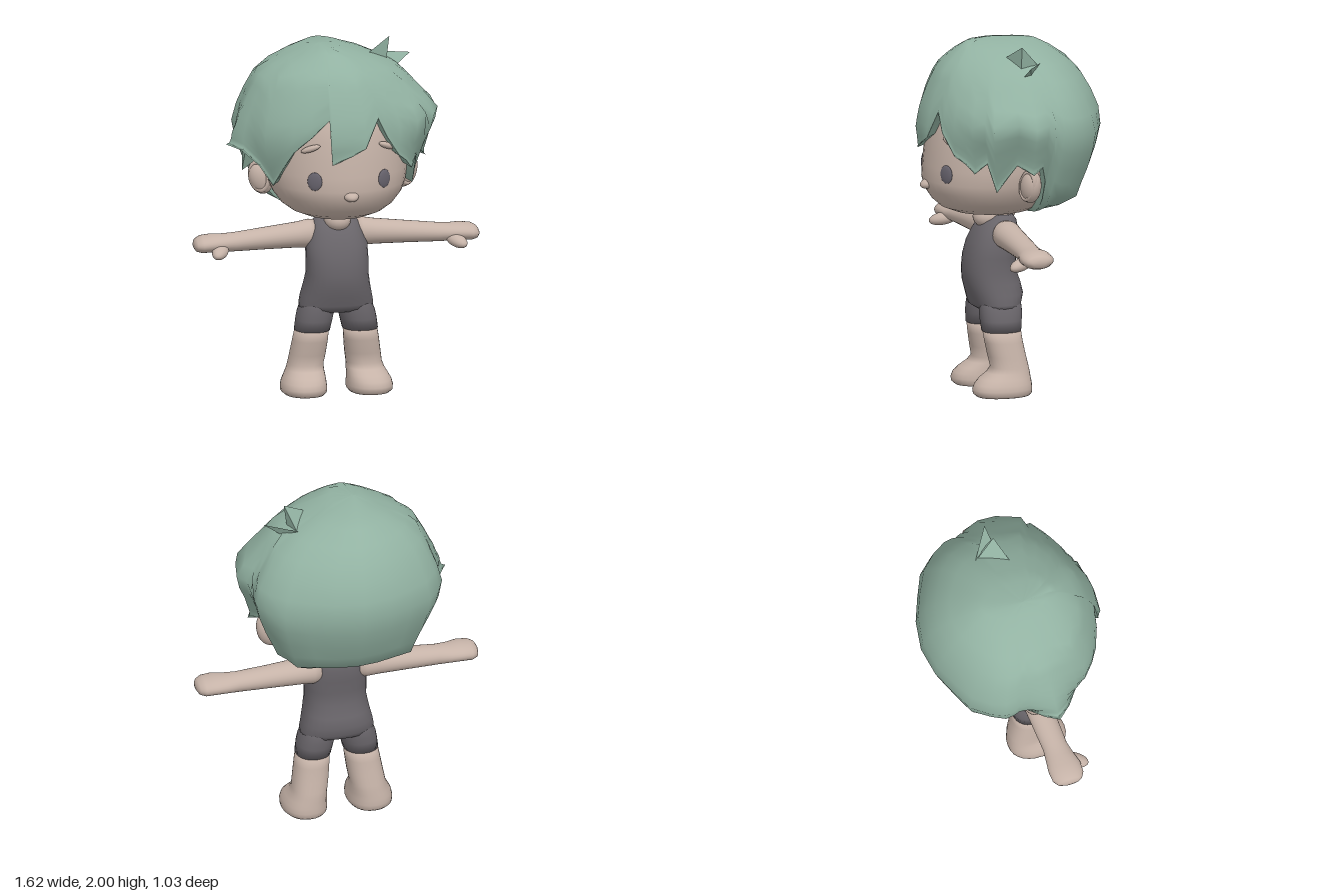
import * as THREE from 'three';
import { ConvexGeometry } from 'three/addons/geometries/ConvexGeometry.js';

const mat = (name, color, side = THREE.FrontSide) => {
  const m = new THREE.MeshStandardMaterial({ color, side });
  m.name = name;
  return m;
};

// Grid of points (rows of equal length) turned into a smooth closed surface.
function skinGrid(rows, flip = false) {
  const n = rows[0].length, pos = rows.flat(2), idx = [];
  for (let j = 0; j < rows.length - 1; j++) {
    for (let i = 0; i < n; i++) {
      const k = (i + 1) % n;
      const a = j * n + i, b = a + n, c = (j + 1) * n + k, d = j * n + k;
      if (flip) idx.push(a, c, b, a, d, c);
      else idx.push(a, b, c, a, c, d);
    }
  }
  const g = new THREE.BufferGeometry();
  g.setAttribute('position', new THREE.Float32BufferAttribute(pos, 3));
  g.setIndex(idx);
  g.computeVertexNormals();
  return g;
}

// Rings listed from top to bottom: [height, centreX, radiusX, centreZ, radiusZ].
// side = -1 mirrors in x.
function loft(rings, side = 1, power = 1, seg = 28) {
  const first = rings[0], last = rings[rings.length - 1];
  const all = [[first[0], first[1], 0, first[3], 0], ...rings, [last[0], last[1], 0, last[3], 0]];
  const bend = v => Math.sign(v) * Math.abs(v) ** power;
  return skinGrid(all.map(([y, cx, rx, cz, rz]) => Array.from({ length: seg }, (_, i) => {
    const t = i / seg * Math.PI * 2;
    return [side * (cx + rx * bend(Math.sin(t))), y, cz + rz * bend(Math.cos(t))];
  })), side < 0);
}

// Ring from front and back depth instead of centre and radius.
const span = ([y, cx, rx, front, back]) => [y, cx, rx, (front + back) / 2, (front - back) / 2];

// Linear lookup in a table of [key, value], keys falling.
function lookup(table, y) {
  for (let i = 1; i < table.length; i++) {
    const [y0, v0] = table[i - 1], [y1, v1] = table[i];
    if (y >= y1) return v0 + (v1 - v0) * Math.min(1, Math.max(0, (y0 - y) / (y0 - y1)));
  }
  return table[table.length - 1][1];
}

// Hair shell: each hem point gets one strand column running down from the crown.
function hairShell() {
  const back = [[.42, 1.25, -.08], [.36, 1.14, -.085], [.29, 1.07, -.085], [.22, 1.04, -.085],
    [.15, 1.03, -.085], [.1, 1.02, -.09], [.06, 1.02, -.09], [.03, 1.02, -.09]];
  const hem = [
    [-.12, 1.63, .46], [-.112, 1.38, .49], [0, 1.43, .505], [.08, 1.47, .5], [.16, 1.63, .46],
    [.21, 1.52, .455], [.29, 1.4, .41], [.34, 1.36, .36], [.38, 1.31, .32], [.42, 1.37, .26],
    [.41, 1.2, .2], [.47, 1.36, .1], [.53, 1.31, .02], [.47, 1.34, -.05],
    ...back, [0, 1.02, -.09],
    ...back.slice().reverse().map(([x, y, z]) => [-x, y, z]),
    [-.5, 1.38, -.06], [-.58, 1.42, .01], [-.63, 1.44, .08], [-.56, 1.42, .16],
    [-.47, 1.34, .22], [-.4, 1.23, .26], [-.36, 1.34, .34], [-.31, 1.44, .39], [-.22, 1.53, .44],
  ];
  const profile = [[1.99, 0], [1.982, .38], [1.94, .53], [1.9, .64], [1.84, .78], [1.72, .91],
    [1.6, 1], [1.5, 1.02], [1.4, .98], [1.3, .92], [1.12, .76], [1.05, .45], [1.02, .2]];
  // Crown is narrower across than from front to back, and so is the nape
  const crown = [[1.99, .4], [1.94, .76], [1.9, .88], [1.84, 1]];
  const nape = [[1.5, 1], [1.4, .96], [1.3, .9], [1.2, .84], [1.1, .78]];
  // Outline from above: [degrees from the front towards +x, radius]
  const outline = [[180, .52], [146, .51], [118, .54], [108, .525], [90, .515], [74, .515],
    [45, .48], [0, .49], [-37, .5], [-57, .515], [-83, .525], [-108, .525], [-118, .54],
    [-146, .51], [-180, .52]];
  const radius = (a, y) => {
    const bump = .14 * Math.exp(-(((a - 1.28) / .5) ** 2) - ((y - 1.61) / .1) ** 2);
    const narrow = Math.hypot(Math.sin(a) * lookup(nape, y), Math.cos(a));
    return lookup(outline, a * 180 / Math.PI) * (1 + bump) * narrow * lookup(profile, y);
  };
  const rows = [], steps = 14;
  for (let j = 0; j <= steps; j++) {
    const t = j / steps;
    rows.push(hem.map(([x, y, z]) => {
      const a = Math.atan2(x, z), py = 1.99 + (y - 1.99) * t * t * (3 - 2 * t);
      const flare = Math.hypot(x, z) / radius(a, y) - 1;
      const r = radius(a, py) * (1 + flare * t ** 3);
      const lean = py > 1.6 ? 1 - lookup(profile, py) : 0;
      return [r * Math.sin(a) * lookup(crown, py) - .09 * lean, py, r * Math.cos(a) + .05 * lean];
    }));
  }
  // Tuck the hem inwards to give the strands thickness
  rows.push(hem.map(([x, y, z]) => [x * .86, y + .03, z * .86]));
  return skinGrid(rows);
}

export function createModel() {
  const root = new THREE.Group();
  root.name = 'figure';
  const skin = mat('skin', 0xc6b3a8);
  const suit = mat('suit', 0x69656a);
  const hair = mat('hair', 0x92b2a2, THREE.DoubleSide);
  const eye = mat('eye', 0x68646e);

  const add = (name, geo, material) => {
    const m = new THREE.Mesh(geo, material);
    m.name = name;
    root.add(m);
    return m;
  };
  const blob = (name, material, p, r, rot = [0, 0, 0]) => {
    const m = add(name, new THREE.SphereGeometry(1, 20, 14), material);
    m.position.set(...p);
    m.scale.set(...r);
    m.rotation.set(...rot);
  };
  const lock = (name, pts) => add(name, new ConvexGeometry(pts.map(p => new THREE.Vector3(...p))), hair);

  // Head and face
  add('head', loft([
    [1.88, 0, .12, .16, -.1], [1.82, 0, .25, .28, -.2], [1.72, 0, .34, .37, -.29],
    [1.6, 0, .385, .43, -.34], [1.5, 0, .395, .455, -.36], [1.4, 0, .4, .47, -.36],
    [1.3, 0, .4, .48, -.34], [1.22, 0, .385, .485, -.3], [1.16, 0, .36, .47, -.26],
    [1.1, 0, .315, .43, -.22], [1.06, 0, .26, .385, -.18], [1.03, 0, .19, .31, -.13],
    [1.01, 0, .1, .2, -.06]].map(span), 1, 1, 40), skin);
  blob('nose', skin, [0, 1.198, .458], [.044, .03, .056], [.25, 0, 0]);
  blob('neck', skin, [0, 1, .045], [.075, .08, .08]);

  // Hair
  add('hair', hairShell(), hair);
  lock('tuftUpper', [[.17, 1.91, .08], [.3, 1.84, .02], [.26, 1.85, -.12], [.32, 2, .02]]);
  lock('tuftLower', [[.24, 1.89, -.12], [.34, 1.82, .03], [.28, 1.8, -.05], [.44, 1.9, .01]]);
  lock('sideLock', [[-.52, 1.46, .13], [-.52, 1.46, 0], [-.42, 1.36, .05], [-.53, 1.28, .05]]);

  // Torso in the suit, with skin at the neckline
  add('torso', loft([
    [1.0, 0, .1, .1, -.02], [.97, 0, .13, .15, -.04], [.92, 0, .15, .19, -.05],
    [.85, 0, .173, .225, -.045], [.77, 0, .175, .248, -.035], [.69, 0, .174, .256, -.035],
    [.62, 0, .186, .25, -.06], [.56, 0, .2, .232, -.073], [.51, 0, .21, .217, -.06],
    [.485, 0, .208, .207, -.05], [.468, 0, .17, .18, -.02]].map(span), 1, .85), suit);
  blob('neckline', skin, [0, .985, .115], [.075, .065, .085]);
  blob('backNeckline', skin, [0, 1, 0], [.055, .03, .045]);

  for (const s of [1, -1]) {
    const side = s > 0 ? 'left' : 'right';

    // Eyes, brows and ears
    blob(side + 'Eye', eye, [s * .198, 1.28, .425], [.043, .052, .012], [0, s * .52, 0]);
    blob(side + 'Brow', skin, [s * .218, 1.464, .405], [.06, .018, .022], [0, s * .5, -s * .35]);
    blob(side + 'Ear', skin, [s * .41, 1.228, 0], [.072, .1, .058], [0, 0, -s * .25]);
    const rim = add(side + 'EarRim', new THREE.TorusGeometry(.066, .014, 10, 24), skin);
    rim.position.set(s * .425, 1.235, .018);
    rim.scale.set(.75, 1.2, 1.6);
    rim.rotation.set(0, s * .5, -s * .25);

    // Arms: lofted upright, then turned out to the side
    const arm = loft([
      [.812, .872, .018, .085, .04], [.8, .873, .036, .08, .07], [.77, .876, .048, .078, .09],
      [.71, .88, .05, .077, .094], [.65, .877, .05, .073, .082], [.58, .878, .053, .068, .07],
      [.4, .888, .062, .06, .074], [.22, .898, .072, .055, .082], [.15, .902, .08, .052, .084],
      [.1, .905, .07, .05, .07]], -s);
    add(side + 'Arm', arm.rotateZ(-s * Math.PI / 2), skin);
    blob(side + 'Thumb', skin, [s * .675, .843, .145], [.044, .036, .085], [.25, s * .45, 0]);

    // Suit leg, then bare leg and foot in one piece
    add(side + 'SuitLeg', loft([
      [.54, .1, .085, .19, -.03], [.5, .11, .095, .197, -.04], [.46, .118, .102, .2, -.042],
      [.42, .126, .102, .198, -.037], [.36, .137, .099, .192, -.03]].map(span), s, .9), suit);
    add(side + 'Leg', loft([
      [.37, .137, .094, .188, -.027], [.3, .146, .098, .178, -.035], [.22, .157, .1, .163, -.05],
      [.16, .167, .1, .15, -.062], [.13, .172, .105, .175, -.067], [.1, .179, .114, .22, -.07],
      [.07, .186, .123, .25, -.074], [.04, .188, .128, .262, -.076], [.015, .188, .126, .258, -.074],
      [0, .186, .112, .24, -.06]].map(span), s, .88), skin);
  }
  return root;
}
